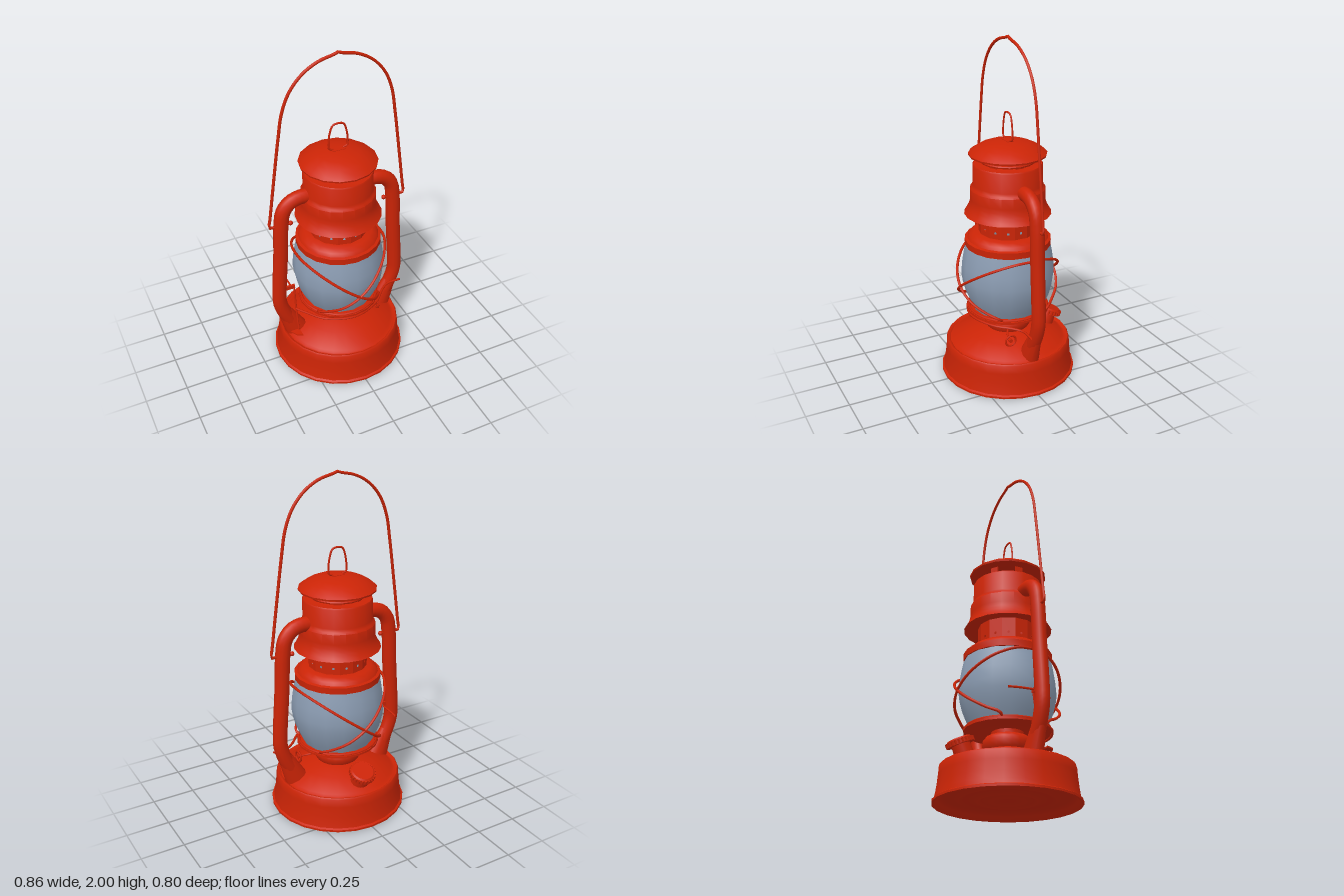
import * as THREE from 'three';
import { toCreasedNormals } from 'three/addons/utils/BufferGeometryUtils.js';

const red = new THREE.MeshStandardMaterial({ color: 0xcb2406, side: THREE.DoubleSide });
const glass = new THREE.MeshStandardMaterial({ color: 0x8c9db3, side: THREE.DoubleSide });

export function createModel() {
  const model = new THREE.Group();

  function add(name, geometry, position = [0, 0, 0], material = red) {
    const mesh = new THREE.Mesh(geometry, material);
    mesh.name = name;
    mesh.position.set(...position);
    model.add(mesh);
    return mesh;
  }
  // Turned part from [radius, y] pairs
  function turned(name, profile, sides, material) {
    const points = profile.map(p => new THREE.Vector2(...p));
    return add(name, toCreasedNormals(new THREE.LatheGeometry(points, sides), 0.75), [0, 0, 0], material);
  }
  // Bent wire or pipe through points
  function wire(name, points, radius, segments = 32, sides = 6) {
    const curve = new THREE.CatmullRomCurve3(points.map(p => new THREE.Vector3(...p)), false, 'centripetal');
    return add(name, new THREE.TubeGeometry(curve, segments, radius, sides));
  }

  // Fuel tank with rippled underside, rolled foot, rim groove and sloping top
  turned('fuelTank', [
    [0, 0.025], [0.07, 0.025], [0.09, 0.016], [0.11, 0.025], [0.14, 0.028], [0.16, 0.018], [0.18, 0.028],
    [0.23, 0.032], [0.255, 0.024], [0.28, 0.036], [0.34, 0.045], [0.37, 0.025], [0.385, 0.004],
    [0.393, 0], [0.4, 0.004], [0.4, 0.016], [0.389, 0.022], [0.383, 0.05], [0.377, 0.09], [0.371, 0.15],
    [0.368, 0.198], [0.362, 0.206], [0.354, 0.204], [0.345, 0.196], [0.335, 0.198], [0.325, 0.208],
    [0.22, 0.25], [0.13, 0.283], [0, 0.288],
  ], 24);

  // Burner bulb and globe plate
  turned('burner', [
    [0.12, 0.275], [0.132, 0.292], [0.139, 0.32], [0.135, 0.345], [0.12, 0.364], [0.09, 0.375], [0.09, 0.4],
  ], 20);
  turned('globePlate', [
    [0, 0.395], [0.13, 0.395], [0.14, 0.387], [0.205, 0.387], [0.222, 0.395], [0.243, 0.397], [0.243, 0.41],
    [0.225, 0.414], [0, 0.414],
  ], 20);
  const rim = add('globePlateRing', new THREE.TorusGeometry(0.232, 0.008, 6, 24), [0, 0.414, 0]);
  rim.rotation.x = Math.PI / 2;

  turned('glassGlobe', [
    [0.207, 0.412], [0.225, 0.45], [0.25, 0.51], [0.265, 0.57], [0.272, 0.62], [0.267, 0.69],
    [0.256, 0.76], [0.246, 0.806], [0.225, 0.812],
  ], 16, glass);

  // Collar above the globe
  turned('globeCollar', [
    [0.2, 0.808], [0.249, 0.808], [0.25, 0.845], [0.234, 0.85], [0.224, 0.868], [0.198, 0.885], [0.165, 0.89],
  ], 20);

  // Pierced chimney ring: one flat panel with a hole per side
  const count = 14, apothem = 0.165;
  const halfWidth = apothem * Math.tan(Math.PI / count);
  const panel = new THREE.Shape([[-1, 0.88], [1, 0.88], [1, 1.02], [-1, 1.02]]
    .map(([s, y]) => new THREE.Vector2(s * halfWidth, y)));
  panel.holes.push(new THREE.Path().absarc(0, 0.925, 0.0075, 0, Math.PI * 2, true));
  const panelGeometry = new THREE.ShapeGeometry(panel, 5).translate(0, 0, apothem);
  for (let i = 0; i < count; i++) {
    add('chimneyPanel', panelGeometry).rotation.y = (i + 0.5) / count * Math.PI * 2;
  }

  // Bell-shaped hood and upper drum
  turned('hood', [
    [0.16, 1.012], [0.21, 1.012], [0.25, 1.0], [0.238, 1.017], [0.226, 1.04], [0.218, 1.065], [0.215, 1.09],
    [0.215, 1.148], [0.206, 1.158], [0.199, 1.175], [0.199, 1.285], [0.194, 1.293], [0.15, 1.293], [0.13, 1.3],
  ], 20);
  turned('ventRing', [[0.12, 1.302], [0.154, 1.302], [0.157, 1.31], [0.154, 1.316], [0.12, 1.316]], 16);
  for (let i = 0; i < 6; i++) {
    const a = (i + 0.5) / 6 * Math.PI * 2;
    const post = add('ventPost', new THREE.BoxGeometry(0.045, 0.07, 0.008),
      [0.14 * Math.sin(a), 1.325, 0.14 * Math.cos(a)]);
    post.rotation.y = a;
  }
  turned('cap', [
    [0, 1.355], [0.15, 1.352], [0.2, 1.345], [0.22, 1.342], [0.222, 1.352], [0.205, 1.366],
    [0.165, 1.391], [0.12, 1.409], [0.06, 1.42], [0, 1.423],
  ], 16);
  wire('capLoop', [
    [-0.03, 1.425, 0], [-0.054, 1.433, 0], [-0.058, 1.46, 0], [-0.049, 1.53, 0], [-0.032, 1.572, 0], [0, 1.58, 0],
    [0.032, 1.572, 0], [0.049, 1.53, 0], [0.058, 1.46, 0], [0.054, 1.433, 0], [0.03, 1.425, 0],
  ], 0.0055, 40);
  add('capLoopClip', new THREE.BoxGeometry(0.075, 0.006, 0.04), [0, 1.421, 0]);

  // Paired side pipes with flared feet, pivots and guard wires
  for (const s of [1, -1]) {
    const pipe = wire('sidePipe', [
      [s * 0.18, 1.17, 0], [s * 0.24, 1.17, 0], [s * 0.295, 1.15, 0], [s * 0.335, 1.1, 0], [s * 0.35, 1.02, 0],
      [s * 0.362, 0.8, 0], [s * 0.381, 0.52, 0], [s * 0.38, 0.45, 0], [s * 0.357, 0.37, 0], [s * 0.3, 0.25, 0],
    ], 0.043, 40, 12);
    pipe.scale.z = 0.91;
    const foot = add('pipeFoot', new THREE.CylinderGeometry(0.043, 0.072, 0.18, 12, 1, true), [s * 0.316, 0.285, 0]);
    foot.rotation.z = -s * 0.42;
    foot.scale.z = 0.7;

    add('pivotBall', new THREE.SphereGeometry(0.014, 8, 6), [s * 0.293, 1.012, 0]);
    const pin = add('pivotPin', new THREE.CylinderGeometry(0.008, 0.008, 0.13, 6), [s * 0.355, 1.012, 0]);
    pin.rotation.z = Math.PI / 2;

    // Guard wires cross in an X on the front and the back
    for (const f of [1, -1]) {
      wire('guardWire', [
        [s * 0.272, 0.79, 0], [s * 0.262, 0.785, f * 0.08], [s * 0.2, 0.74, f * 0.195], [s * 0.1, 0.665, f * 0.278],
        [0, 0.59, f * 0.304], [-s * 0.09, 0.52, f * 0.277], [-s * 0.16, 0.462, f * 0.207],
        [-s * 0.2, 0.432, f * 0.15], [-s * 0.19, 0.415, f * 0.13],
      ], 0.008, 40);
    }
  }

  // Carrying bail, hooked into the pivots
  const half = [[0.025, 1.983], [0.11, 1.962], [0.2, 1.91], [0.273, 1.825], [0.318, 1.715], [0.342, 1.58],
    [0.382, 1.3], [0.417, 1.05], [0.423, 1.02], [0.41, 1.012], [0.37, 1.012]];
  wire('bail', [
    ...half.slice().reverse().map(([x, y]) => [-x, y, 0]), [0, 1.992, 0], ...half.map(([x, y]) => [x, y, 0]),
  ], 0.0085, 100);

  // Tilted filler neck and ridged filler cap at the back
  const filler = new THREE.Group();
  filler.name = 'filler';
  filler.position.set(0, 0.235, -0.252);
  filler.rotation.x = -0.4;
  const neck = add('fillerNeck', new THREE.CylinderGeometry(0.05, 0.055, 0.1, 16), [0, 0.02, 0]);
  const lid = add('fillerCap', new THREE.CylinderGeometry(0.073, 0.075, 0.026, 24), [0, 0.074, 0]);
  const lidTop = add('fillerCapTop', new THREE.CylinderGeometry(0.062, 0.07, 0.008, 24), [0, 0.091, 0]);
  filler.add(neck, lid, lidTop);
  for (let i = 0; i < 24; i++) {
    const a = i / 24 * Math.PI * 2;
    filler.add(add('fillerCapRidge', new THREE.CylinderGeometry(0.006, 0.006, 0.024, 5),
      [0.073 * Math.sin(a), 0.074, 0.073 * Math.cos(a)]));
  }
  model.add(filler);

  // Wick adjuster
  wire('wickRod', [[0.1, 0.31, 0.05], [0.16, 0.292, 0.08], [0.215, 0.29, 0.09]], 0.006, 10);
  const wheel = add('wickWheel', new THREE.TorusGeometry(0.032, 0.006, 6, 16), [0.218, 0.29, 0.09]);
  wheel.rotation.y = Math.PI / 2;
  const hub = add('wickHub', new THREE.CylinderGeometry(0.012, 0.012, 0.016, 8), [0.215, 0.29, 0.09]);
  hub.rotation.z = Math.PI / 2;

  // Globe lift wire under the plate with its arms
  wire('liftWire', [
    [-0.29, 0.388, 0.03], [-0.25, 0.388, 0.085], [-0.17, 0.388, 0.18], [0, 0.388, 0.24], [0.17, 0.388, 0.18],
    [0.25, 0.388, 0.1], [0.31, 0.388, 0.058], [0.4, 0.388, 0.054],
  ], 0.007, 40);

  // Globe lift lever: foot tab, stem rising beside the pipe, strap and finger rod
  const tab = new THREE.Shape([[-0.34, -0.05], [-0.283, -0.05], [-0.283, -0.11], [-0.315, -0.095]]
    .map(p => new THREE.Vector2(...p)));
  const tabGeometry = new THREE.ExtrudeGeometry(tab, { depth: 0.008, bevelEnabled: false });
  add('leverTab', tabGeometry.rotateX(-Math.PI / 2), [0, 0.232, 0]);
  wire('leverStem', [[-0.288, 0.236, 0.055], [-0.288, 0.3, 0.04], [-0.288, 0.4, 0.02], [-0.288, 0.54, 0]], 0.006, 30);
  add('leverStrap', new THREE.BoxGeometry(0.06, 0.024, 0.014), [-0.313, 0.543, 0]);
  wire('leverRod', [[-0.305, 0.545, 0], [-0.305, 0.542, -0.08], [-0.305, 0.535, -0.155]], 0.006, 10);

  return model;
}
